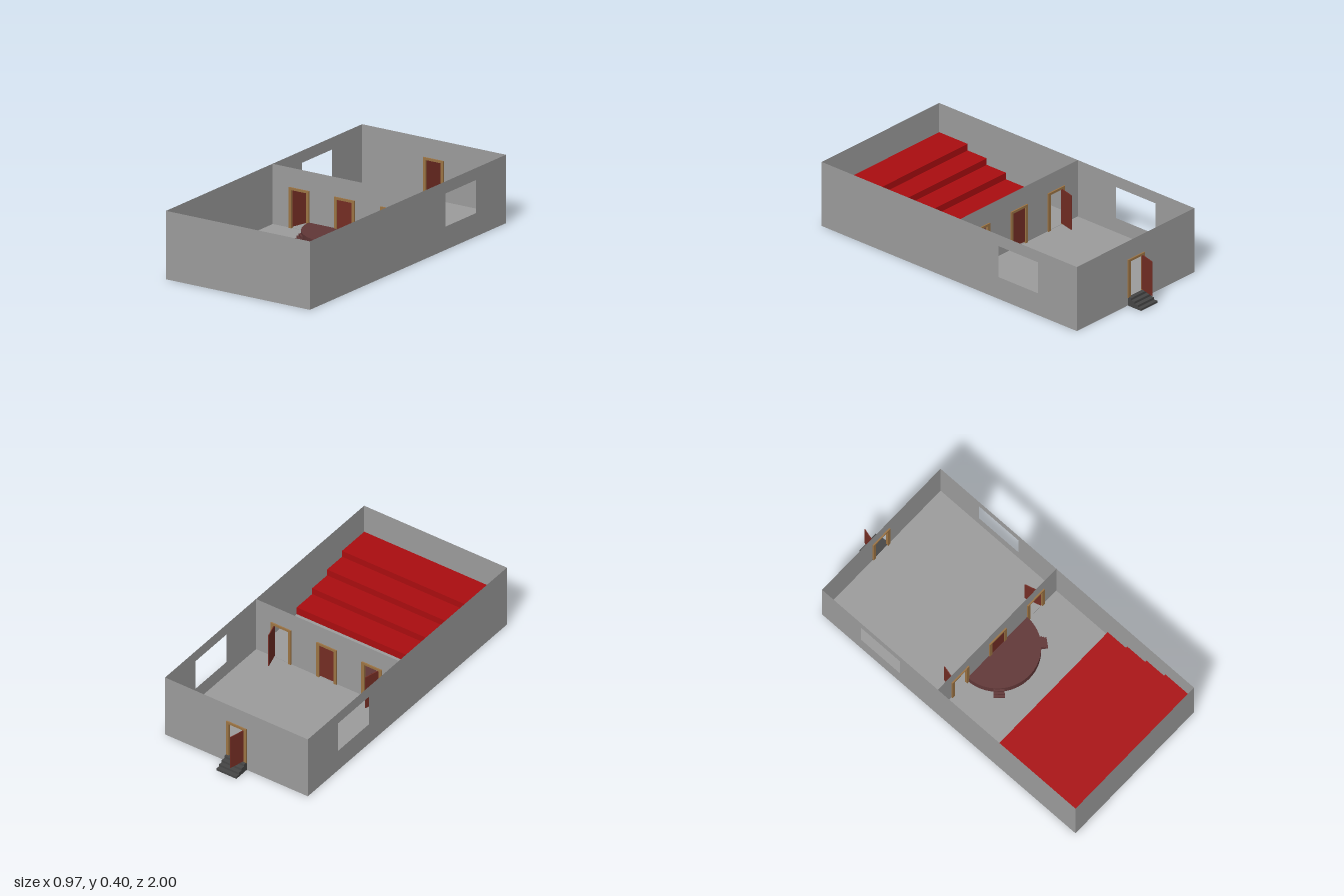
import * as THREE from 'three';

const HALF_W = 0.483, H = 0.397, BACK = -0.9, FRONT = 1, DIVIDER = -0.032, FLOOR = 0.048;

export function createModel() {
  const model = new THREE.Group();
  const mat = (name, color, side = THREE.FrontSide) => {
    const m = new THREE.MeshStandardMaterial({ color, side });
    m.name = name;
    return m;
  };
  const wallGrey = mat('wall grey', 0x9c9c9c, THREE.DoubleSide);
  const seatRed = mat('seating red', 0xaa0d10);
  const stageBrown = mat('stage maroon', 0x613737);
  const doorBrown = mat('door red brown', 0x742d24);
  const frameTan = mat('door frame tan', 0x9c7444);
  const stepGrey = mat('step dark grey', 0x464646);

  const add = (name, geometry, material, parent = model) => {
    const mesh = new THREE.Mesh(geometry, material);
    mesh.name = name;
    parent.add(mesh);
    return mesh;
  };
  // Box given by its minimum and maximum corners
  const box = (name, x0, x1, y0, y1, z0, z1, material, parent = model) => {
    const mesh = add(name, new THREE.BoxGeometry(x1 - x0, y1 - y0, z1 - z0), material, parent);
    mesh.position.set((x0 + x1) / 2, (y0 + y1) / 2, (z0 + z1) / 2);
    return mesh;
  };
  const rect = (Type, x0, x1, y0, y1) => {
    const s = new Type();
    s.moveTo(x0, y0);
    s.lineTo(x1, y0);
    s.lineTo(x1, y1);
    s.lineTo(x0, y1);
    s.closePath();
    return s;
  };
  // Thin wall with rectangular openings
  const wall = (name, x0, x1, y0, openings) => {
    const shape = rect(THREE.Shape, x0, x1, y0, H);
    openings.forEach(o => shape.holes.push(rect(THREE.Path, ...o)));
    return add(name, new THREE.ShapeGeometry(shape), wallGrey);
  };
  const doorway = c => [c - 0.05, c + 0.05, FLOOR + 0.002, 0.27];

  // Outer shell and dividing wall
  const innerDoors = [-0.3025, 0.0025, 0.3125], backDoor = -0.002;
  wall('frontWall', -HALF_W, HALF_W, 0, []).position.z = FRONT;
  wall('backWall', -HALF_W, HALF_W, 0, [doorway(backDoor)]).position.z = BACK;
  wall('dividingWall', -HALF_W, HALF_W, FLOOR, innerDoors.map(doorway)).position.z = DIVIDER;
  for (const side of [-1, 1]) {
    const w = wall(side < 0 ? 'rightWall' : 'leftWall', BACK, FRONT, 0, [[-0.61, -0.315, 0.135, 0.327]]);
    w.rotation.y = -Math.PI / 2;
    w.position.x = side * HALF_W;
  }
  box('floor', -0.482, 0.482, 0, FLOOR, BACK + 0.001, FRONT - 0.001, wallGrey);

  // Doors: a U-shaped frame and a leaf swung about its hinge
  const addDoor = (name, c, z, hingeX, angle, length = 0.1) => {
    const door = new THREE.Group();
    door.name = name;
    door.position.set(c, 0, z);
    model.add(door);
    const outline = new THREE.Shape([
      [-0.068, FLOOR], [-0.05, FLOOR], [-0.05, 0.27], [0.05, 0.27],
      [0.05, FLOOR], [0.068, FLOOR], [0.068, 0.284], [-0.068, 0.284],
    ].map(p => new THREE.Vector2(...p)));
    const frame = new THREE.ExtrudeGeometry(outline, { depth: 0.016, bevelEnabled: false });
    add('doorFrame', frame.translate(0, 0, -0.008), frameTan, door);
    const leaf = new THREE.BoxGeometry(length, 0.213, 0.005).translate(length / 2, 0.1645, 0);
    const mesh = add('doorLeaf', leaf, doorBrown, door);
    mesh.position.x = hingeX;
    mesh.rotation.y = angle;
  };
  addDoor('rightInnerDoor', innerDoors[0], DIVIDER, -0.046, 1.32);
  addDoor('middleInnerDoor', innerDoors[1], DIVIDER, -0.05, 0);
  addDoor('leftInnerDoor', innerDoors[2], DIVIDER, 0.046, Math.PI - 1.29);
  addDoor('backDoor', backDoor, BACK, -0.052, 1.31, 0.102);

  // Steps outside the back door
  for (let i = 0; i < 4; i++) {
    box('entranceStep', -0.07, 0.064, 0, 0.053 * (4 - i) / 4, BACK - 0.025 * (i + 1), BACK - 0.025 * i, stepGrey);
  }

  // Tiered seating rising toward the front wall
  const tierStarts = [0.355, 0.502, 0.645, 0.787, 0.999];
  for (let i = 0; i < 4; i++) {
    box('seatingTier', -0.482, 0.482, FLOOR, 0.095 + 0.0405 * i, tierStarts[i], tierStarts[i + 1], seatRed);
  }

  // Half-round stage with two small flights of steps
  const stage = new THREE.Group();
  stage.name = 'stage';
  stage.position.set(0.0025, 0, DIVIDER);
  model.add(stage);
  const platform = new THREE.CylinderGeometry(0.242, 0.242, 0.053, 40, 1, false, -Math.PI / 2, Math.PI);
  add('stagePlatform', platform, stageBrown, stage).position.y = FLOOR + 0.0265;
  for (const angle of [-0.79, 0.9]) {
    const flight = new THREE.Group();
    flight.name = 'stageSteps';
    flight.rotation.y = angle;
    stage.add(flight);
    for (let i = 0; i < 3; i++) {
      box('stageStep', -0.031, 0.031, FLOOR, FLOOR + 0.013 * (3 - i),
        i ? 0.24 + 0.013 * i : 0.225, 0.253 + 0.013 * i, stageBrown, flight);
    }
  }
  return model;
}
